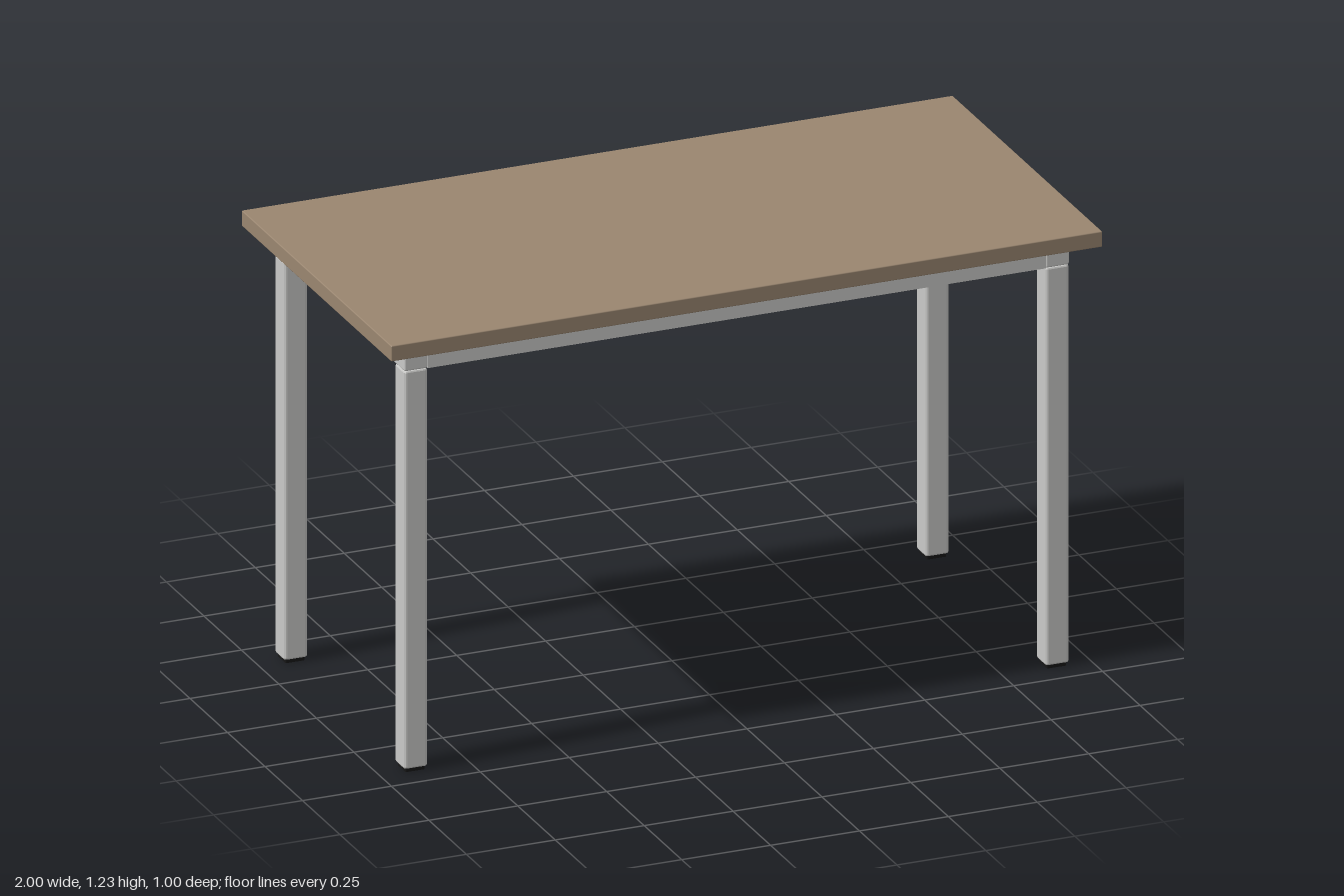
import * as THREE from 'three';
import { RoundedBoxGeometry } from 'three/addons/geometries/RoundedBoxGeometry.js';

// Rounded square outline of the given half width
function squareOutline(target, h, r) {
  target.moveTo(-h + r, -h);
  target.lineTo(h - r, -h);
  target.quadraticCurveTo(h, -h, h, -h + r);
  target.lineTo(h, h - r);
  target.quadraticCurveTo(h, h, h - r, h);
  target.lineTo(-h + r, h);
  target.quadraticCurveTo(-h, h, -h, h - r);
  target.lineTo(-h, -h + r);
  target.quadraticCurveTo(-h, -h, -h + r, -h);
  return target;
}

// Upright hollow square tube standing on y = 0
function squareTube(half, innerHalf, radius, height, bevel) {
  const shape = squareOutline(new THREE.Shape(), half - bevel, radius);
  shape.holes.push(squareOutline(new THREE.Path(), innerHalf + bevel, radius));
  const geometry = new THREE.ExtrudeGeometry(shape, {
    depth: height - 2 * bevel, curveSegments: 3,
    bevelEnabled: bevel > 0, bevelSize: bevel, bevelThickness: bevel, bevelSegments: 2,
  });
  return geometry.translate(0, 0, bevel).rotateX(-Math.PI / 2);
}

export function createModel() {
  const table = new THREE.Group();
  table.name = 'table';

  const wood = new THREE.MeshStandardMaterial({ color: 0x9a8670 });
  wood.name = 'brown wood';
  const metal = new THREE.MeshStandardMaterial({ color: 0xcacac8 });
  metal.name = 'light grey metal';
  const rubber = new THREE.MeshStandardMaterial({ color: 0x161616 });
  rubber.name = 'black rubber';

  const add = (name, geometry, material, x, y, z) => {
    const mesh = new THREE.Mesh(geometry, material);
    mesh.name = name;
    mesh.position.set(x, y, z);
    table.add(mesh);
  };

  const legX = 0.902, legZ = 0.4, width = 0.066;
  const footHeight = 0.01, railBottom = 1.126, railTop = 1.19, topY = 1.234;
  const railHeight = railTop - railBottom;
  const railY = (railTop + railBottom) / 2;

  // Table top
  add('tableTop', new RoundedBoxGeometry(2, topY - railTop, 0.998, 2, 0.003),
    wood, 0, (topY + railTop) / 2, 0);

  // Rails: short ones run the full depth, long ones fit between them
  const shortRail = new RoundedBoxGeometry(width, railHeight, 2 * legZ + width, 2, 0.005);
  const longRail = new THREE.BoxGeometry(2 * legX - width, railHeight, width);
  for (const side of [-1, 1]) {
    add(side > 0 ? 'leftRail' : 'rightRail', shortRail, metal, side * legX, railY, 0);
    add(side > 0 ? 'frontRail' : 'backRail', longRail, metal, 0, railY, side * legZ);
  }

  // Legs with open ring-shaped feet
  const leg = squareTube(width / 2, 0.016, 0.004, railBottom - footHeight, 0.005);
  const foot = squareTube(0.027, 0.015, 0.003, footHeight, 0);
  for (const sx of [-1, 1]) {
    for (const sz of [-1, 1]) {
      const place = (sz > 0 ? 'front' : 'back') + (sx > 0 ? 'Left' : 'Right');
      add(place + 'Leg', leg, metal, sx * legX, footHeight, sz * legZ);
      add(place + 'Foot', foot, rubber, sx * legX, 0, sz * legZ);
    }
  }
  return table;
}
